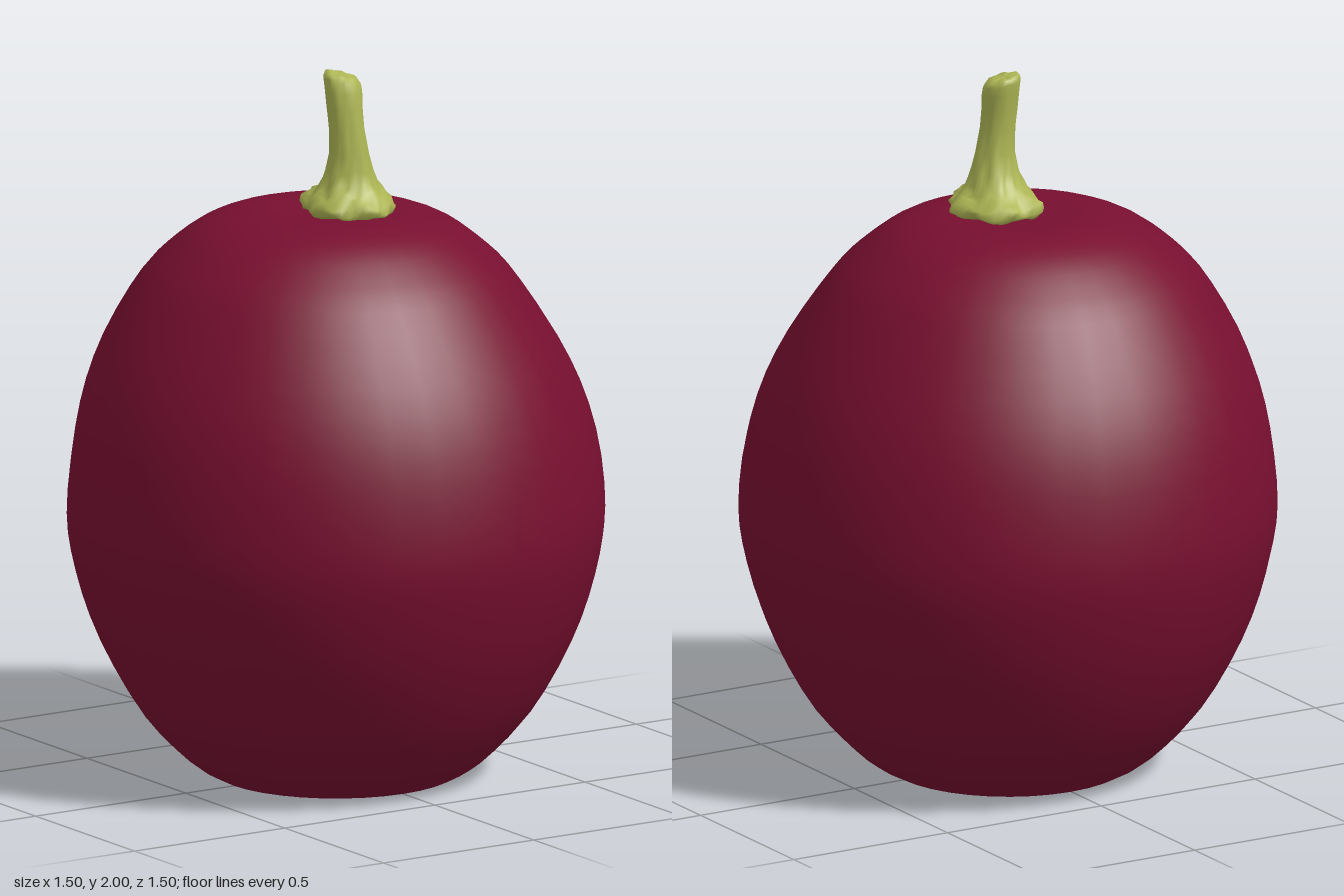
import * as THREE from 'three';

const skin = new THREE.MeshStandardMaterial({ color: 0x780f30 });
skin.name = 'wine red skin';
const stalk = new THREE.MeshStandardMaterial({ color: 0xadb654 });
stalk.name = 'olive green stalk';

// Smooth spline through [radius, height] points
function profile(points, steps) {
  return new THREE.SplineCurve(points.map(([r, y]) => new THREE.Vector2(r, y)))
    .getPoints(steps).map((p) => new THREE.Vector2(Math.max(p.x, 0), p.y));
}

// Fruit skin: a lathe whose shoulder leans slightly to the back
function fruitGeometry() {
  const geo = new THREE.LatheGeometry(profile([
    [0.34, 0], [0.42, 0.05], [0.55, 0.19], [0.665, 0.4], [0.73, 0.6], [0.75, 0.77],
    [0.72, 1.0], [0.65, 1.2], [0.53, 1.4], [0.44, 1.495], [0.34, 1.565], [0.22, 1.6],
    [0.1, 1.597], [0, 1.59],
  ], 40), 36);
  const pos = geo.attributes.position;
  for (let i = 0; i < pos.count; i++) {
    const lean = THREE.MathUtils.smoothstep(pos.getY(i), 0.85, 1.5);
    pos.setX(i, pos.getX(i) - 0.012 * lean);
    pos.setZ(i, pos.getZ(i) - 0.03 * lean);
  }
  return geo;
}

// Stalk: irregular rings joined in a loop; ring = [height, centre x, centre z, radius x, radius z, bumpiness]
function stalkGeometry() {
  const rings = [
    [1.59, 0.03, 0.02, 0.07, 0.08, 0.05], [1.6, 0.03, 0.02, 0.115, 0.13, 0.08],
    [1.615, 0.03, 0.02, 0.125, 0.142, 0.09], [1.632, 0.028, 0.02, 0.118, 0.135, 0.09],
    [1.648, 0.026, 0.022, 0.1, 0.115, 0.1], [1.662, 0.026, 0.024, 0.086, 0.095, 0.1],
    [1.685, 0.028, 0.025, 0.075, 0.075, 0.1], [1.72, 0.027, 0.028, 0.063, 0.062, 0.09],
    [1.77, 0.024, 0.032, 0.054, 0.054, 0.06], [1.84, 0.018, 0.027, 0.049, 0.05, 0.03],
    [1.9, 0.015, 0.021, 0.05, 0.051, 0.03], [1.945, 0.015, 0.014, 0.053, 0.051, 0.03],
    [1.972, 0.015, 0.008, 0.053, 0.05, 0.03], [1.987, 0.014, 0.004, 0.046, 0.044, 0.03],
    [1.991, 0.013, 0.002, 0.03, 0.03, 0.03], [1.989, 0.012, 0.002, 0.001, 0.001, 0],
  ];
  const sides = 40, pos = [], index = [];
  rings.forEach(([y, cx, cz, rx, rz, bump], j) => {
    const tilt = THREE.MathUtils.smoothstep(y, 1.9, 1.98);
    for (let i = 0; i < sides; i++) {
      const a = (i / sides) * Math.PI * 2;
      const k = 1 + bump * (0.5 * Math.sin(5 * a + 1) + 0.45 * Math.sin(8 * a + j * 0.9) + 0.3 * Math.sin(13 * a - j * 1.7));
      const dx = Math.sin(a) * rx * k, dz = Math.cos(a) * rz * k;
      const wave = bump * 0.07 * Math.sin(6 * a + j * 1.3);
      pos.push(cx + dx, y + wave - tilt * (dx * 0.2 + dz * 0.1), cz + dz);
    }
  });
  for (let j = 0; j < rings.length - 1; j++) {
    for (let i = 0; i < sides; i++) {
      const n = (i + 1) % sides;
      const a = j * sides + i, b = j * sides + n, c = a + sides, d = b + sides;
      index.push(a, b, d, a, d, c);
    }
  }
  const geo = new THREE.BufferGeometry();
  geo.setAttribute('position', new THREE.Float32BufferAttribute(pos, 3));
  geo.setIndex(index);
  geo.computeVertexNormals();
  return geo;
}

export function createModel() {
  const group = new THREE.Group();
  group.name = 'fruit';
  const add = (name, geo, mat) => {
    const mesh = new THREE.Mesh(geo, mat);
    mesh.name = name;
    group.add(mesh);
    return mesh;
  };
  add('body', fruitGeometry(), skin);
  // Flat underside
  add('base', new THREE.CircleGeometry(0.34, 36), skin).rotation.x = Math.PI / 2;
  add('stalk', stalkGeometry(), stalk);
  return group;
}
